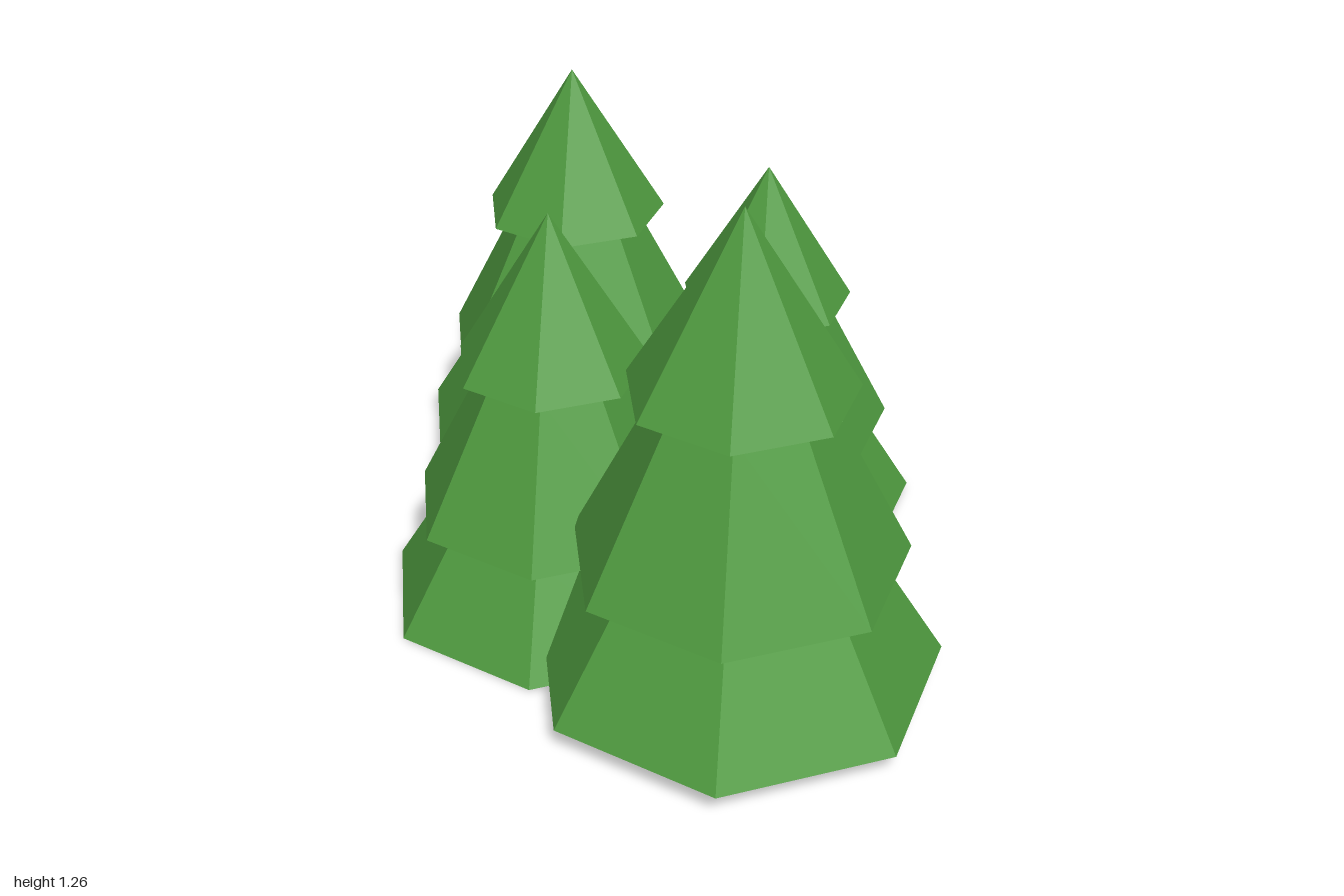
import * as THREE from 'three';

const SIDES = 7;
const TWIST = -0.025;

// Outline of a unit-high tree, from the centre of the base to the tip: [radius, height]
const OUTLINE = [
  [0, 0], [0.415, 0],         // closed base, lower tier
  [0.27, 0.24], [0.34, 0.25], // overhang of the middle tier
  [0.158, 0.611], [0.228, 0.621], // overhang of the top tier
  [0, 1],
];

// Position of each tree and its height
const TREES = [
  { name: 'frontLeftTree', x: 0.222, y: 0.06, z: 0.497, height: 1.205 },
  { name: 'frontRightTree', x: -0.256, y: 0, z: 0.145, height: 1.055 },
  { name: 'backLeftTree', x: 0.238, y: 0.025, z: -0.295, height: 0.965 },
  { name: 'backRightTree', x: -0.294, y: 0.05, z: -0.597, height: 1.055 },
];

export function createModel() {
  const group = new THREE.Group();
  group.name = 'pineGrove';

  const foliage = new THREE.MeshStandardMaterial({ color: 0x4f9a3f, flatShading: true });
  const points = OUTLINE.map(([r, h]) => new THREE.Vector2(r, h));
  const geometry = new THREE.LatheGeometry(points, SIDES);

  for (const { name, x, y, z, height } of TREES) {
    const tree = new THREE.Mesh(geometry, foliage);
    tree.name = name;
    tree.position.set(x, y, z);
    tree.scale.setScalar(height);
    tree.rotation.y = TWIST;
    group.add(tree);
  }
  return group;
}
